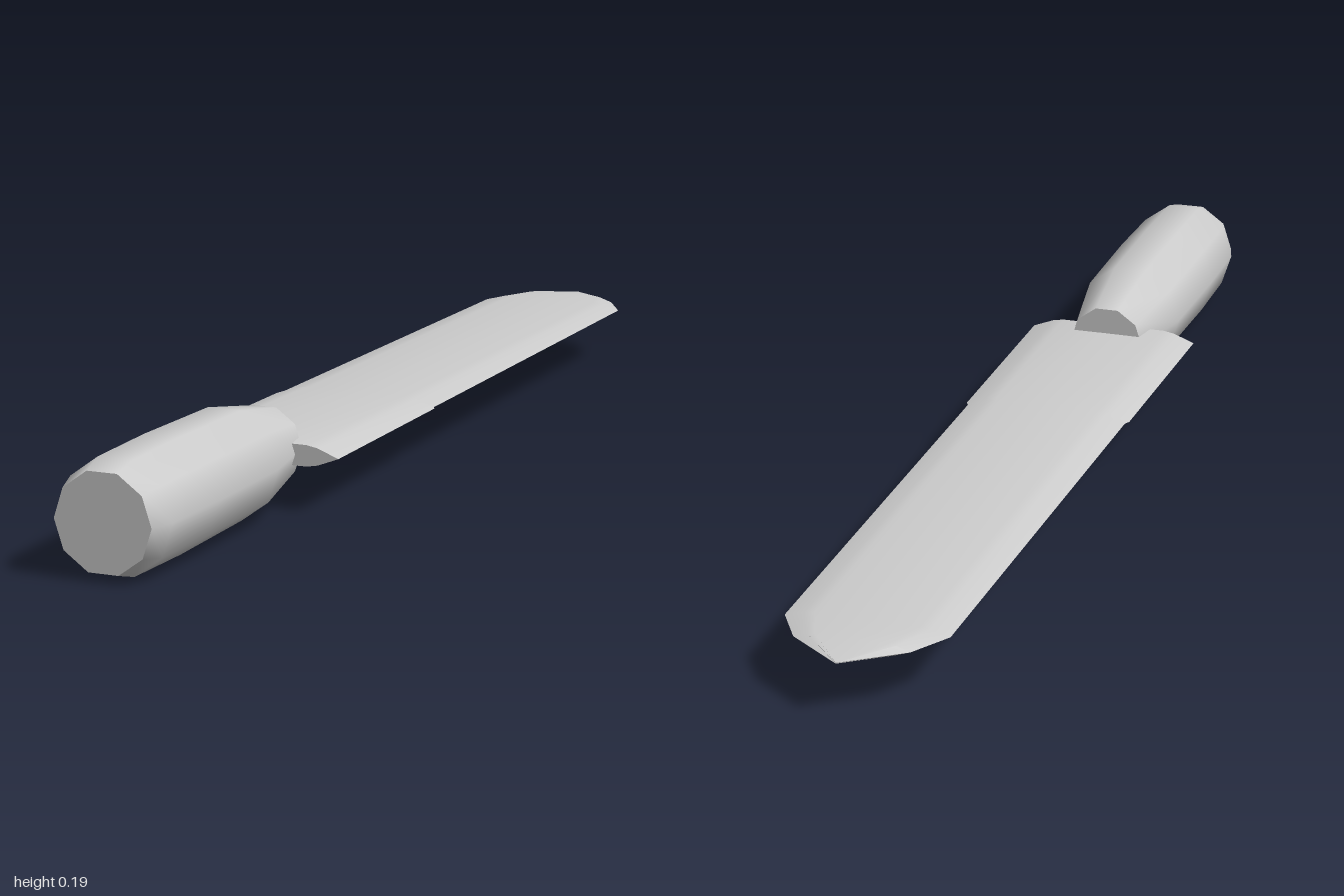
import * as THREE from 'three';
import { toCreasedNormals } from 'three/addons/utils/BufferGeometryUtils.js';

const CENTER_Y = 0.0945;

// Skins a unit outline (counter-clockwise from +z) along stations
// [z, scaleX, scaleY] running from front to back, with both ends capped.
function loft(outline, stations, crease) {
  const n = outline.length;
  const last = stations.length - 1;
  const pos = [];
  const idx = [];
  for (const [z, sx, sy] of stations) {
    for (const [x, y] of outline) pos.push(x * sx, CENTER_Y + y * sy, z);
  }
  for (let i = 0; i < last; i++) {
    for (let j = 0; j < n; j++) {
      const a = i * n + j;
      const b = i * n + (j + 1) % n;
      idx.push(a, a + n, b, b, a + n, b + n);
    }
  }
  for (let j = 1; j < n - 1; j++) {
    idx.push(0, j, j + 1);
    idx.push(last * n, last * n + j + 1, last * n + j);
  }
  const geo = new THREE.BufferGeometry();
  geo.setAttribute('position', new THREE.Float32BufferAttribute(pos, 3));
  geo.setIndex(idx);
  return toCreasedNormals(geo, crease);
}

export function createModel() {
  const group = new THREE.Group();
  group.name = 'knife';
  const grey = new THREE.MeshStandardMaterial({ color: 0xcccccc });
  grey.name = 'lightGrey';

  const add = (name, geo) => {
    const mesh = new THREE.Mesh(geo, grey);
    mesh.name = name;
    group.add(mesh);
  };

  // Ten-sided grip, bevelled at the butt and tapering towards the blade
  const decagon = Array.from({ length: 10 }, (_, i) => {
    const a = (i / 10) * Math.PI * 2;
    return [Math.cos(a), Math.sin(a)];
  });
  const grip = [[1, 0.084], [0.955, 0.097], [0.8, 0.0993], [0.58, 0.096], [0.43, 0.068]];
  add('handle', loft(decagon, grip.map(([z, r]) => [z, r, r]), 0.68));

  // Thin double-edged blade: flat middle with both edges ground to a point
  const section = [
    [1, 0], [0.76, 0.8], [0.63, 1], [0, 1.02], [-0.63, 1], [-0.76, 0.8],
    [-1, 0], [-0.76, -0.8], [-0.63, -1], [0, -1.02], [0.63, -1], [0.76, -0.8],
  ];
  add('blade', loft(section, [
    [0.475, 0.154, 0.018],
    [0.07, 0.15, 0.016],
    [0.06, 0.145, 0.015],
    [-0.86, 0.137, 0.011],
    [-0.93, 0.096, 0.01],
    [-1, 0.001, 0.001],
  ], 0.68));

  return group;
}
